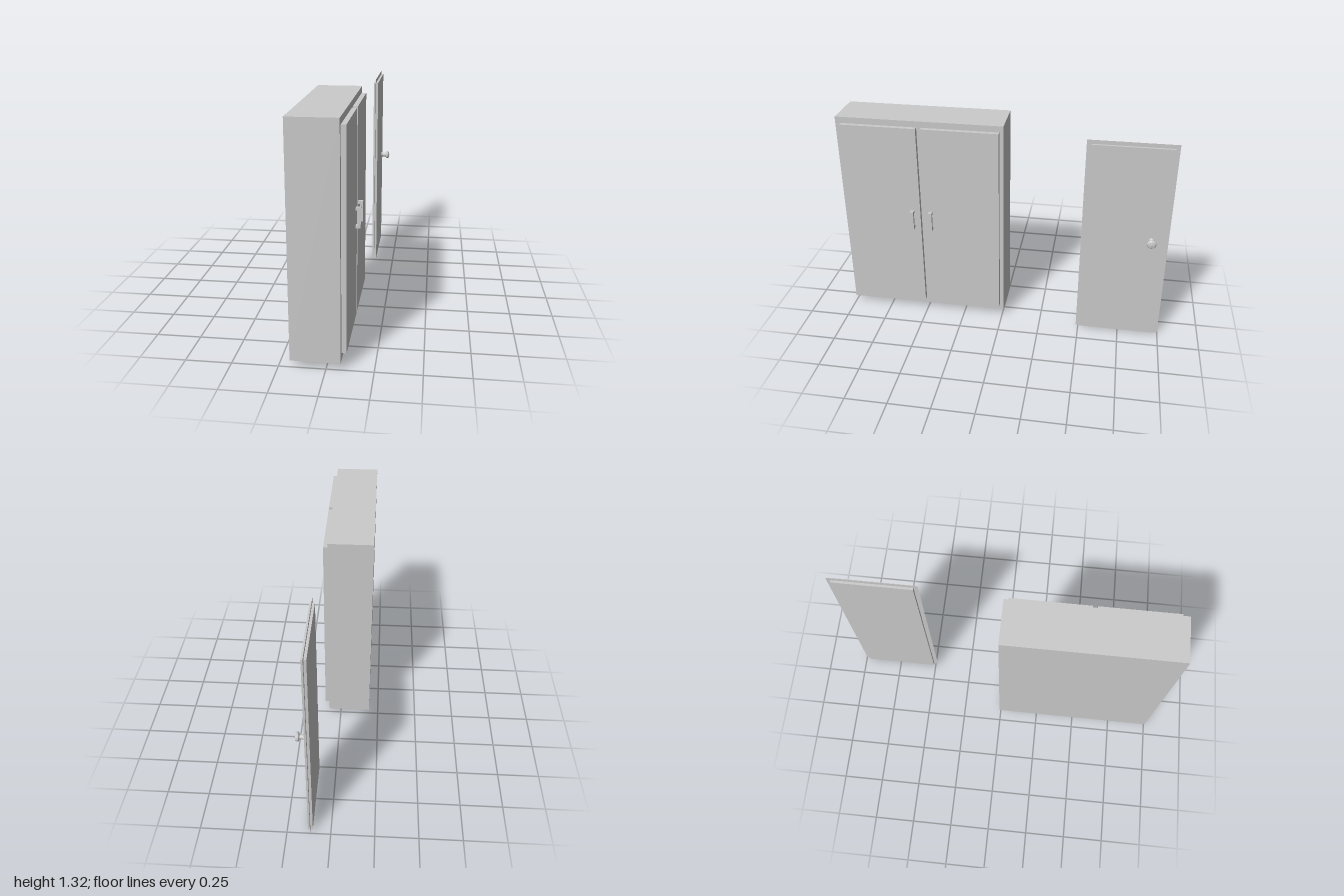
import * as THREE from 'three';

const material = new THREE.MeshStandardMaterial({ color: 0xcccccc, flatShading: true });
const thin = new THREE.MeshStandardMaterial({ color: 0xcccccc, side: THREE.DoubleSide });

// Box given by its limits on each axis
function block(name, [x0, x1], [y0, y1], [z0, z1]) {
  const mesh = new THREE.Mesh(new THREE.BoxGeometry(x1 - x0, y1 - y0, z1 - z0), material);
  mesh.position.set((x0 + x1) / 2, (y0 + y1) / 2, (z0 + z1) / 2);
  mesh.name = name;
  return mesh;
}

// U-shaped pull handle: side outline in x and y, extruded along z
function pullHandle(name, z) {
  const s = new THREE.Shape();
  [[0.104, 0.62], [0.132, 0.62], [0.132, 0.74], [0.104, 0.74],
    [0.104, 0.723], [0.114, 0.723], [0.114, 0.637], [0.104, 0.637]]
    .forEach(([x, y], i) => (i ? s.lineTo(x, y) : s.moveTo(x, y)));
  s.closePath();
  const depth = 0.022;
  const mesh = new THREE.Mesh(new THREE.ExtrudeGeometry(s, { depth, bevelEnabled: false }), material);
  mesh.position.z = z - depth / 2;
  mesh.name = name;
  return mesh;
}

export function createModel() {
  const model = new THREE.Group();

  // Double-door cabinet, doors facing +x
  const cabinet = new THREE.Group();
  cabinet.name = 'cabinet';
  cabinet.add(block('cabinetBody', [-0.19, 0.077], [0.037, 1.315], [-0.008, 1]));
  [['rear', 0.016, 0.479, 0.441], ['front', 0.507, 0.968, 0.556]].forEach(([side, z0, z1, handleZ]) => {
    cabinet.add(block(side + 'CabinetDoor', [0.077, 0.104], [0.08, 1.277], [z0, z1]));
    cabinet.add(pullHandle(side + 'DoorHandle', handleZ));
  });
  model.add(cabinet);

  // Separate door: slab passing through a thin surround
  const door = new THREE.Group();
  door.name = 'singleDoor';
  door.add(block('doorSlab', [0.104, 0.132], [0.007, 1.261], [-0.975, -0.512]));
  const surround = new THREE.Mesh(new THREE.PlaneGeometry(0.514, 1.285), thin);
  surround.rotation.y = Math.PI / 2;
  surround.position.set(0.118, 0.6425, -0.743);
  surround.name = 'doorSurround';
  door.add(surround);

  // Turned knob, its axis along +x
  const profile = [[0, 0], [0.018, 0], [0.018, 0.006], [0.014, 0.013], [0.014, 0.03],
    [0.026, 0.038], [0.028, 0.046], [0.022, 0.054], [0, 0.058]]
    .map(([r, h]) => new THREE.Vector2(r, h));
  const knob = new THREE.Mesh(new THREE.LatheGeometry(profile, 12), material);
  knob.rotation.z = -Math.PI / 2;
  knob.position.set(0.132, 0.677, -0.9);
  knob.name = 'doorKnob';
  door.add(knob);
  model.add(door);

  return model;
}
